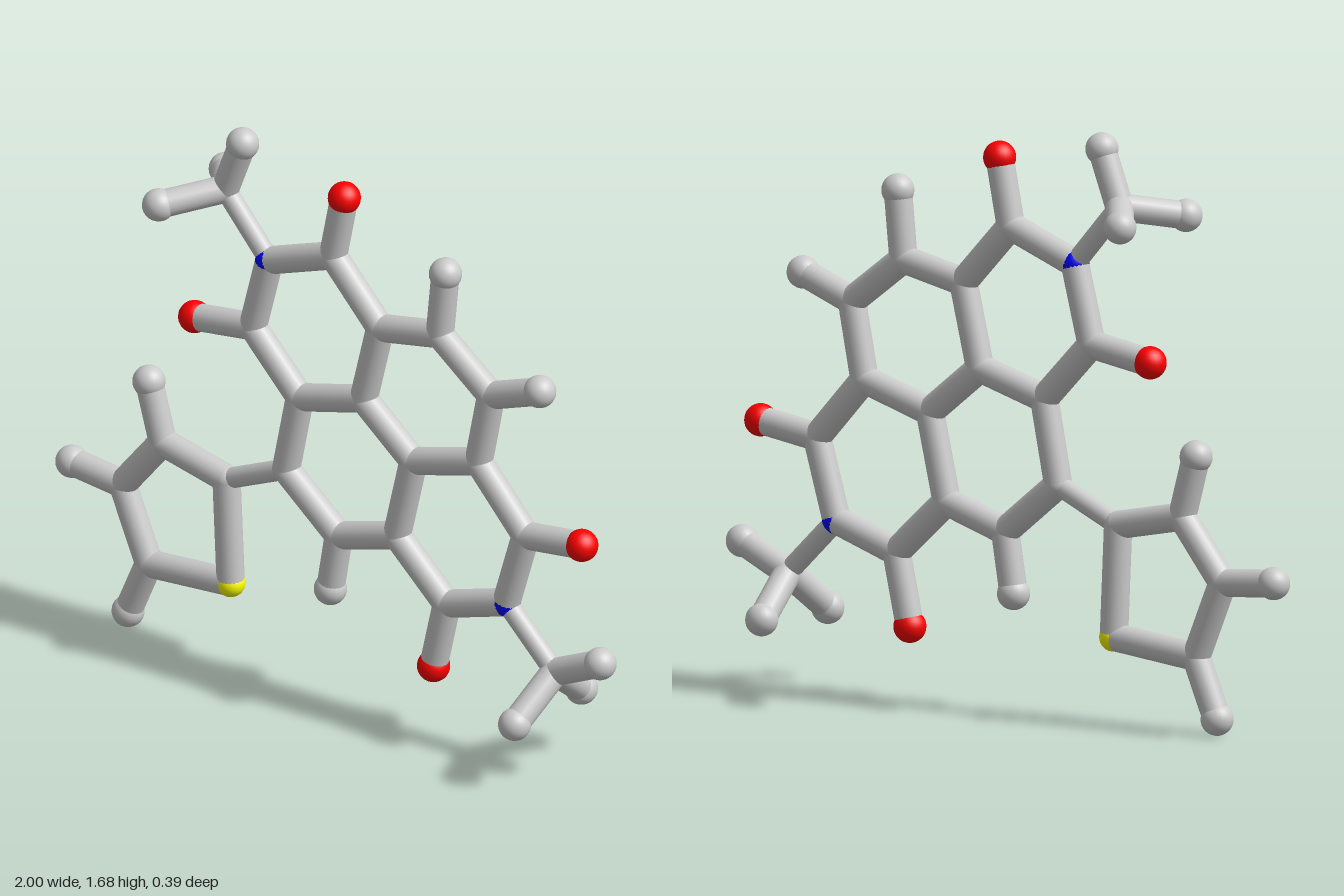
import * as THREE from 'three';

const BOND = 0.04, LINK = 0.03, TIP = 0.047;

// Atom centres: [x, y, z]
const carbons = {
  a: [-0.01, 1.385, 0], b: [-0.30, 1.075, 0], c: [0.16, 1.21, 0], d: [0.10, 0.97, 0],
  e: [-0.13, 0.905, 0], f: [0.375, 1.255, 0], g: [0.56, 1.12, 0], h: [0.515, 0.90, 0],
  i: [0.28, 0.83, 0], j: [0.22, 0.58, 0], k: [0.01, 0.515, 0], l: [-0.18, 0.665, 0],
  m: [0.685, 0.72, 0], n: [0.40, 0.42, 0],
  p: [-0.395, 0.57, 0], q: [-0.625, 0.615, 0], r: [-0.77, 0.44, 0], s: [-0.675, 0.22, 0],
  upperMethyl: [-0.40, 1.475, 0], lowerMethyl: [0.79, 0.325, 0],
};
const nitrogens = { N1: [-0.24, 1.30, 0], N2: [0.615, 0.49, 0] };
const sulfurs = { S: [-0.38, 0.25, 0] };

// Closed rings, listed corner by corner
const rings = ['a c d e b N1', 'c f g h i d', 'd i j k l e', 'i h m N2 n j', 'p q r s S'];

// Thinner bonds between groups
const links = [['N1', 'upperMethyl'], ['N2', 'lowerMethyl'], ['l', 'p']];

// Outer atoms: [parent, centre]
const hydrogens = [
  ['f', [0.395, 1.45, 0]], ['g', [0.735, 1.185, 0]], ['k', [-0.02, 0.34, 0]],
  ['q', [-0.675, 0.79, 0]], ['r', [-0.953, 0.455, 0]], ['s', [-0.75, 0.05, 0]],
  ['upperMethyl', [-0.337, 1.635, 0]], ['upperMethyl', [-0.52, 1.445, 0.15]], ['upperMethyl', [-0.52, 1.445, -0.15]],
  ['lowerMethyl', [0.953, 0.40, 0]], ['lowerMethyl', [0.765, 0.21, 0.15]], ['lowerMethyl', [0.765, 0.21, -0.15]],
];
const oxygens = [
  ['a', [0.03, 1.577, 0]], ['b', [-0.51, 1.042, 0]], ['m', [0.887, 0.75, 0]], ['n', [0.352, 0.212, 0]],
];

export function createModel() {
  const model = new THREE.Group();
  const material = (color) => new THREE.MeshStandardMaterial({ color });
  const grey = material(0xcccccc), red = material(0xff0000);
  const blue = material(0x0000ff), yellow = material(0xffff00);
  const atoms = { ...carbons, ...nitrogens, ...sulfurs };

  const ball = (name, centre, radius, mat) => {
    const mesh = new THREE.Mesh(new THREE.SphereGeometry(radius, 24, 16), mat);
    mesh.name = name;
    mesh.position.set(...centre);
    model.add(mesh);
  };

  const rod = (name, from, to, radius) => {
    const start = new THREE.Vector3(...from), end = new THREE.Vector3(...to);
    const direction = end.clone().sub(start);
    const mesh = new THREE.Mesh(new THREE.CylinderGeometry(radius, radius, direction.length(), 20), grey);
    mesh.name = name;
    mesh.position.copy(start).add(end).multiplyScalar(0.5);
    mesh.quaternion.setFromUnitVectors(new THREE.Vector3(0, 1, 0), direction.normalize());
    model.add(mesh);
  };

  // Joints at every inner atom
  for (const centre of Object.values(carbons)) ball('carbonAtom', centre, BOND, grey);
  for (const centre of Object.values(nitrogens)) ball('nitrogenAtom', centre, BOND + 0.001, blue);
  for (const centre of Object.values(sulfurs)) ball('sulfurAtom', centre, BOND + 0.002, yellow);

  // Ring bonds, each shared edge built once
  const built = new Set();
  for (const ring of rings) {
    const corners = ring.split(' ');
    corners.forEach((corner, index) => {
      const next = corners[(index + 1) % corners.length];
      const key = [corner, next].sort().join('-');
      if (built.has(key)) return;
      built.add(key);
      rod('ringBond', atoms[corner], atoms[next], BOND);
    });
  }
  for (const [from, to] of links) rod('linkBond', atoms[from], atoms[to], LINK);

  // Outer atoms on their bonds
  const addTips = (list, name, mat) => {
    for (const [parent, centre] of list) {
      rod(name + 'Bond', atoms[parent], centre, BOND);
      ball(name + 'Atom', centre, TIP, mat);
    }
  };
  addTips(hydrogens, 'hydrogen', grey);
  addTips(oxygens, 'oxygen', red);

  return model;
}
